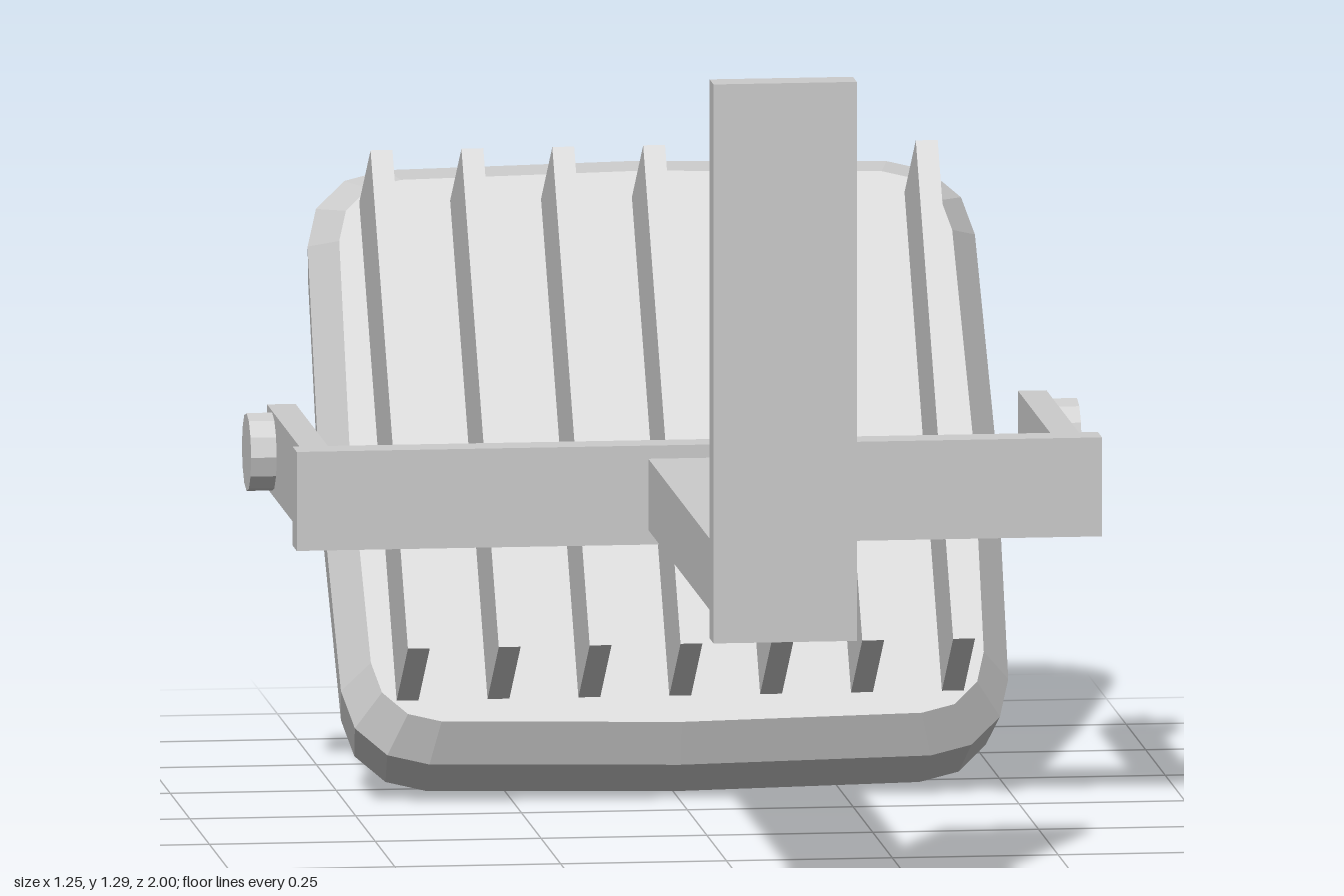
import * as THREE from 'three';

const metal = new THREE.MeshStandardMaterial({ color: 0xcccccc });
metal.name = 'lightGreyMetal';

function add(parent, name, geometry, x = 0, y = 0, z = 0) {
  const mesh = new THREE.Mesh(geometry, metal);
  mesh.name = name;
  mesh.position.set(x, y, z);
  parent.add(mesh);
  return mesh;
}

// box given by its lower and upper corners
function block(parent, name, a, b) {
  const size = a.map((v, i) => b[i] - v);
  const mid = a.map((v, i) => (v + b[i]) / 2);
  return add(parent, name, new THREE.BoxGeometry(...size), ...mid);
}

// rounded rectangle with slightly bowed sides, counter-clockwise
function outline(hx, hy, r, z) {
  const points = [];
  const bow = 0.008;
  const corners = [[1, 1], [-1, 1], [-1, -1], [1, -1]];
  const middles = [[0, hy + bow], [-hx - bow, 0], [0, -hy - bow], [hx + bow, 0]];
  corners.forEach(([sx, sy], c) => {
    for (let i = 0; i <= 3; i++) {
      const a = (c + i / 3) * Math.PI / 2;
      points.push([sx * (hx - r) + r * Math.cos(a), sy * (hy - r) + r * Math.sin(a), z]);
    }
    points.push([...middles[c], z]);
  });
  return points;
}

// flat-faced skin over stacked cross-sections, closed at both ends
function loft(rings) {
  const out = [];
  const tri = (a, b, c) => out.push(...a, ...b, ...c);
  const n = rings[0].length;
  for (let k = 0; k < rings.length - 1; k++) {
    for (let i = 0; i < n; i++) {
      const j = (i + 1) % n;
      const a = rings[k][i], b = rings[k][j], c = rings[k + 1][j], d = rings[k + 1][i];
      tri(a, b, c);
      tri(a, c, d);
    }
  }
  const first = rings[0], last = rings[rings.length - 1];
  for (let i = 0; i < n; i++) {
    const j = (i + 1) % n;
    tri([0, 0, first[0][2]], first[j], first[i]);
    tri([0, 0, last[0][2]], last[i], last[j]);
  }
  const g = new THREE.BufferGeometry();
  g.setAttribute('position', new THREE.Float32BufferAttribute(out, 3));
  g.computeVertexNormals();
  return g;
}

export function createModel() {
  const model = new THREE.Group();
  model.name = 'floodlight';

  // wall mount and boom
  block(model, 'wallPlate', [-0.108, 0.45, 0.95], [0.108, 1.297, 1]);
  block(model, 'boom', [-0.077, 0.452, -0.096], [0.077, 0.56, 0.95]);

  // yoke
  block(model, 'crossbar', [-0.607, 0.43, -0.148], [0.607, 0.58, -0.095]);
  for (const side of [-1, 1]) {
    const label = side > 0 ? 'left' : 'right';
    add(model, label + 'Arm', new THREE.BoxGeometry(0.043, 0.127, 0.492), side * 0.566, 0.504, -0.394);
    const bolt = new THREE.CylinderGeometry(0.059, 0.059, 0.04, 12).toNonIndexed();
    bolt.computeVertexNormals();
    add(model, label + 'Bolt', bolt, side * 0.606, 0.506, -0.576).rotation.z = Math.PI / 2;
  }

  // tilted lamp head, local +z is the finned back
  const head = new THREE.Group();
  head.name = 'lampHead';
  head.position.set(0, 0.505, -0.576);
  head.rotation.x = -35 * Math.PI / 180;
  model.add(head);

  add(head, 'housing', loft([
    outline(0.492, 0.486, 0.12, -0.17),
    outline(0.503, 0.496, 0.125, -0.06),
    outline(0.462, 0.452, 0.1, -0.004),
  ]));
  block(head, 'lens', [-0.428, -0.428, -0.182], [0.428, 0.428, -0.165]);

  // cooling fins
  for (let i = -3; i <= 3; i++) {
    add(head, 'coolingFin', new THREE.BoxGeometry(0.033, 0.832, 0.182), i * 0.137, 0, 0.081);
  }
  return model;
}
